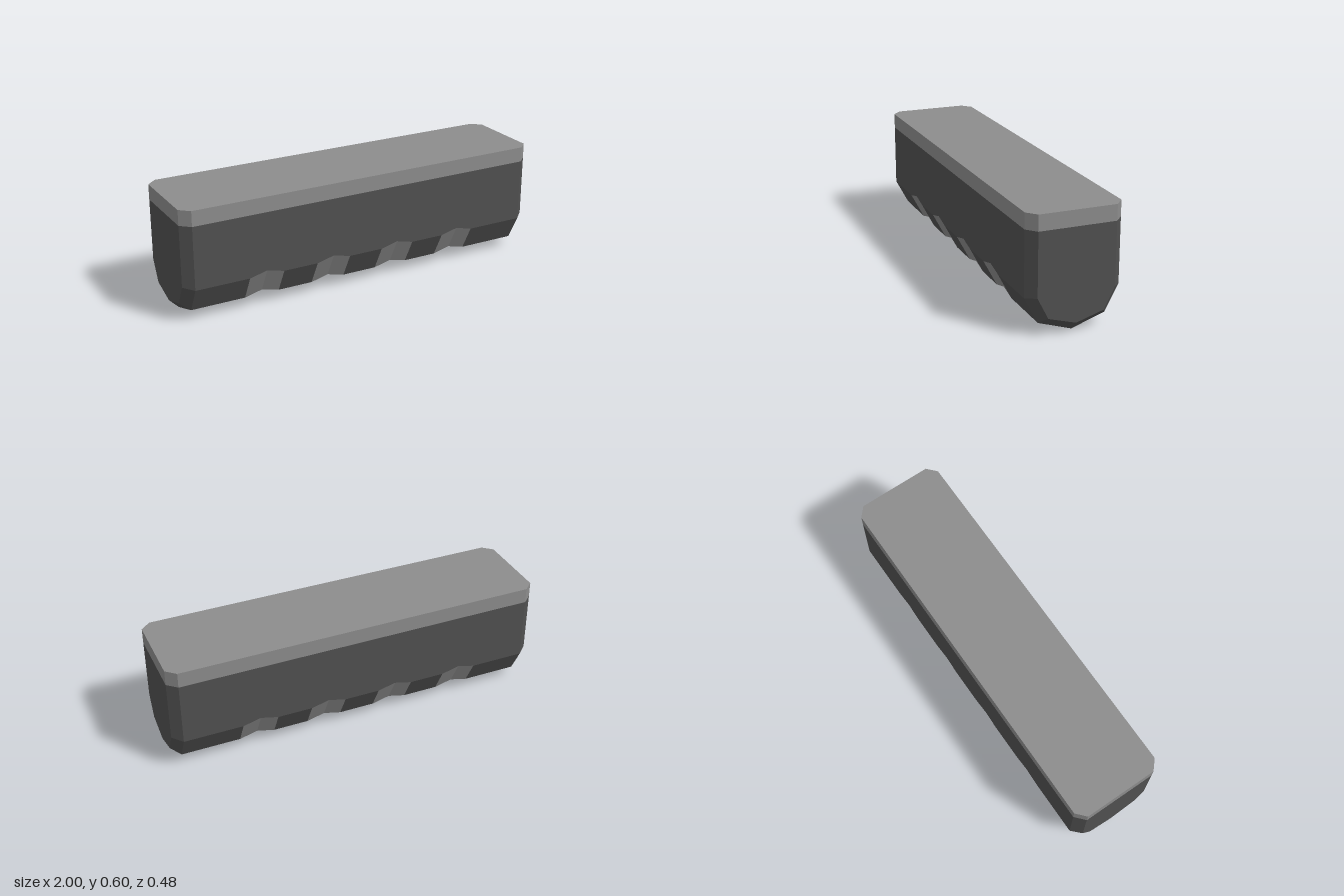
import * as THREE from 'three';

const DARK = new THREE.MeshStandardMaterial({ color: 0x505050, flatShading: true });
const LIGHT = new THREE.MeshStandardMaterial({ color: 0x8c8c8c, flatShading: true });

// Half profiles as [z, y], from the top edge down to the keel
const FULL = [[0.24, 0.52], [0.24, 0.19], [0.17, 0.057], [0, 0]];
const END = [[0.195, 0.52], [0.195, 0.2], [0.14, 0.092], [0, 0.05]];
const GROOVES = [-0.57, -0.197, 0.177, 0.547];
const HALF_GROOVE = 0.093;

// Full U-shaped section at x, with everything below the wall raised by lift
function section(x, half, lift = 0) {
  const front = half.map(([z, y], i) => [x, i ? y + lift : y, z]);
  const back = front.slice(0, -1).reverse().map(([px, y, z]) => [px, y, -z]);
  return [...front, ...back];
}

function makeMesh(name, triangles, material) {
  const geometry = new THREE.BufferGeometry();
  geometry.setAttribute('position', new THREE.Float32BufferAttribute(triangles.flat(), 3));
  geometry.computeVertexNormals();
  const mesh = new THREE.Mesh(geometry, material);
  mesh.name = name;
  return mesh;
}

export function createModel() {
  const group = new THREE.Group();
  group.name = 'grip';

  // Sections along the length: chamfered ends and raised finger grooves
  const sections = [section(-1, END), section(-0.95, FULL)];
  const grooveSpans = new Set();
  for (const x of GROOVES) {
    grooveSpans.add(sections.length).add(sections.length + 1);
    sections.push(section(x - HALF_GROOVE, FULL), section(x, FULL, 0.023), section(x + HALF_GROOVE, FULL));
  }
  sections.push(section(0.95, FULL), section(1, END));

  // Skin between the sections; the slanted groove panels are lighter
  const body = [], panels = [];
  for (let i = 0; i < sections.length - 1; i++) {
    const s = sections[i], t = sections[i + 1];
    for (let j = 0; j < s.length - 1; j++) {
      const isPanel = grooveSpans.has(i) && (j === 1 || j === s.length - 3);
      (isPanel ? panels : body).push(s[j], s[j + 1], t[j + 1], s[j], t[j + 1], t[j]);
    }
  }
  // End faces
  const left = sections[sections.length - 1], right = sections[0];
  for (let j = 1; j < left.length - 1; j++) {
    body.push(left[0], left[j], left[j + 1], right[0], right[j + 1], right[j]);
  }
  group.add(makeMesh('gripBody', body, DARK), makeMesh('fingerGroovePanels', panels, LIGHT));

  // Flat top plate with clipped corners
  const outline = [[1, 0.195], [0.95, 0.24], [-0.95, 0.24], [-1, 0.195],
    [-1, -0.195], [-0.95, -0.24], [0.95, -0.24], [1, -0.195]];
  const shape = new THREE.Shape(outline.map(([x, y]) => new THREE.Vector2(x, y)));
  const plateGeometry = new THREE.ExtrudeGeometry(shape, { depth: 0.08, bevelEnabled: false });
  plateGeometry.rotateX(-Math.PI / 2);
  const plate = new THREE.Mesh(plateGeometry, LIGHT);
  plate.name = 'topPlate';
  plate.position.y = 0.52;
  group.add(plate);

  return group;
}
